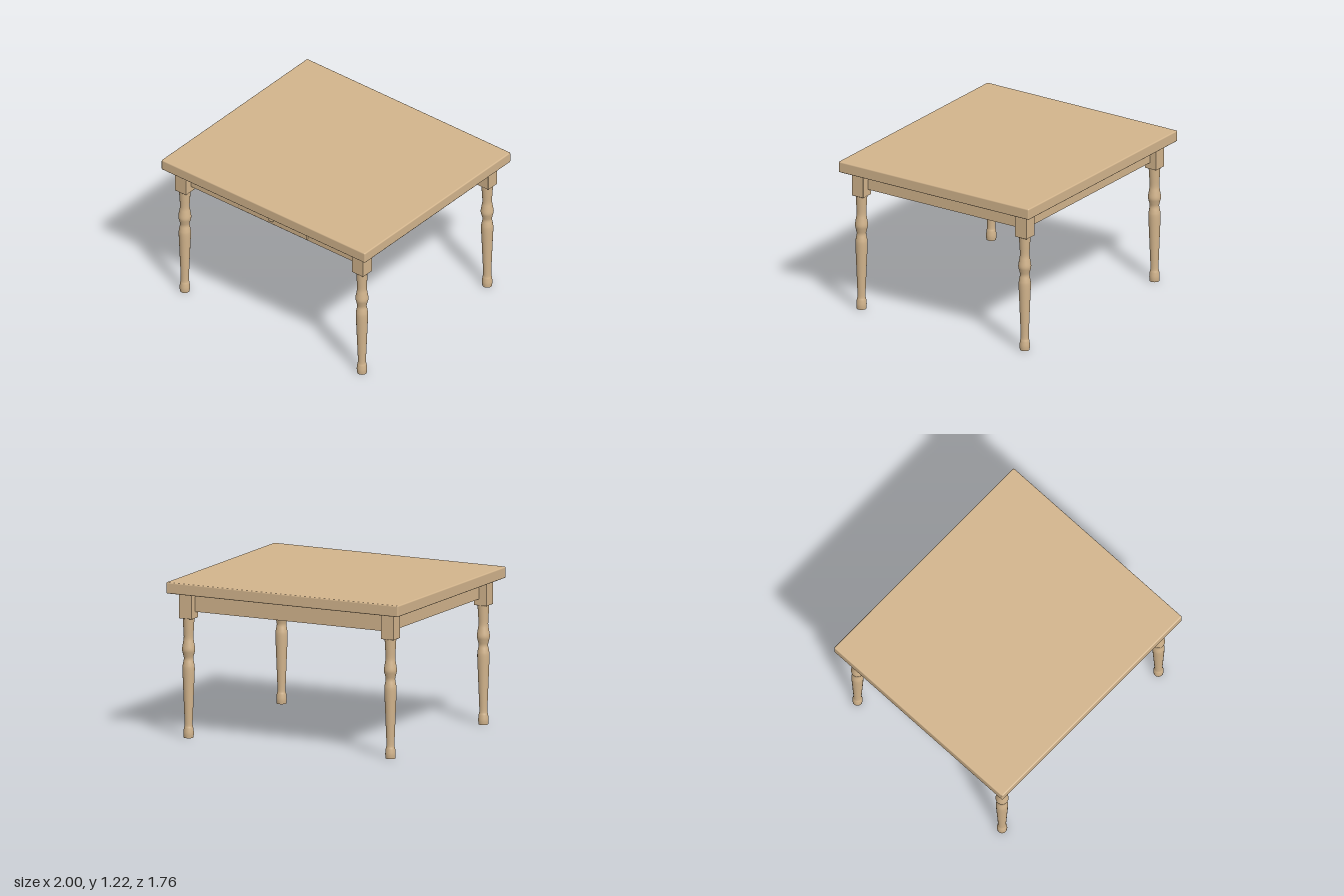
import * as THREE from 'three';
import { RoundedBoxGeometry } from 'three/addons/geometries/RoundedBoxGeometry.js';

const wood = new THREE.MeshStandardMaterial({ color: 0xd2b48c });

function add(parent, name, geometry, x, y, z) {
  const mesh = new THREE.Mesh(geometry, wood);
  mesh.name = name;
  mesh.position.set(x, y, z);
  parent.add(mesh);
  return mesh;
}

// Lathe whose [radius, height] profile is smoothed by a spline and closed on the axis
function turned(points, steps, sides) {
  const curve = new THREE.SplineCurve(points.map(([r, y]) => new THREE.Vector2(r, y)));
  return new THREE.LatheGeometry(curve.getPoints(steps), sides);
}

export function createModel() {
  const table = new THREE.Group();
  table.name = 'table';

  // Top with softly rounded edges
  add(table, 'tableTop', new RoundedBoxGeometry(2, 0.088, 1.76, 3, 0.01), 0, 1.171, 0);

  // Apron boards, set back from the outer faces of the leg blocks
  const apronX = 0.86, apronZ = 0.75, thick = 0.03, apronH = 0.147, apronY = 1.0535;
  for (const s of [1, -1]) {
    add(table, s > 0 ? 'frontApron' : 'backApron',
      new THREE.BoxGeometry(2 * apronX, apronH, thick), 0, apronY, s * (apronZ - thick / 2));
    add(table, s > 0 ? 'leftApron' : 'rightApron',
      new THREE.BoxGeometry(thick, apronH, 2 * (apronZ - thick)), s * (apronX - thick / 2), apronY, 0);
  }

  // Turned legs, each with a square block on top
  const legGeometry = turned([
    [0.037, 0], [0.04, 0.035], [0.036, 0.075], [0.031, 0.11], [0.036, 0.25], [0.042, 0.4],
    [0.047, 0.53], [0.043, 0.575], [0.036, 0.615], [0.043, 0.65], [0.05, 0.685],
    [0.043, 0.735], [0.037, 0.78], [0.041, 0.86], [0.045, 0.93],
  ], 56, 28);
  const footGeometry = new THREE.CircleGeometry(0.037, 28).rotateX(Math.PI / 2);
  const blockGeometry = new RoundedBoxGeometry(0.109, 0.19, 0.107, 2, 0.003);
  for (const x of [0.87, -0.87]) {
    for (const z of [0.755, -0.755]) {
      const leg = new THREE.Group();
      leg.name = (z > 0 ? 'front' : 'back') + (x > 0 ? 'Left' : 'Right') + 'Leg';
      leg.position.set(x, 0, z);
      add(leg, 'turnedShaft', legGeometry, 0, 0, 0);
      add(leg, 'footBase', footGeometry, 0, 0, 0);
      add(leg, 'legBlock', blockGeometry, 0, 1.024, 0);
      table.add(leg);
    }
  }

  // Drawer front and its round knob
  const drawer = new THREE.Group();
  drawer.name = 'drawer';
  drawer.position.set(0, 1.05, apronZ);
  add(drawer, 'drawerFront', new RoundedBoxGeometry(0.67, 0.118, 0.03, 2, 0.005), 0, 0, 0);
  const knob = turned([
    [0.015, 0], [0.014, 0.008], [0.024, 0.016], [0.022, 0.026], [0.012, 0.032], [0, 0.034],
  ], 20, 24);
  add(drawer, 'drawerKnob', knob.rotateX(Math.PI / 2), 0, 0, 0.014);
  table.add(drawer);

  return table;
}
